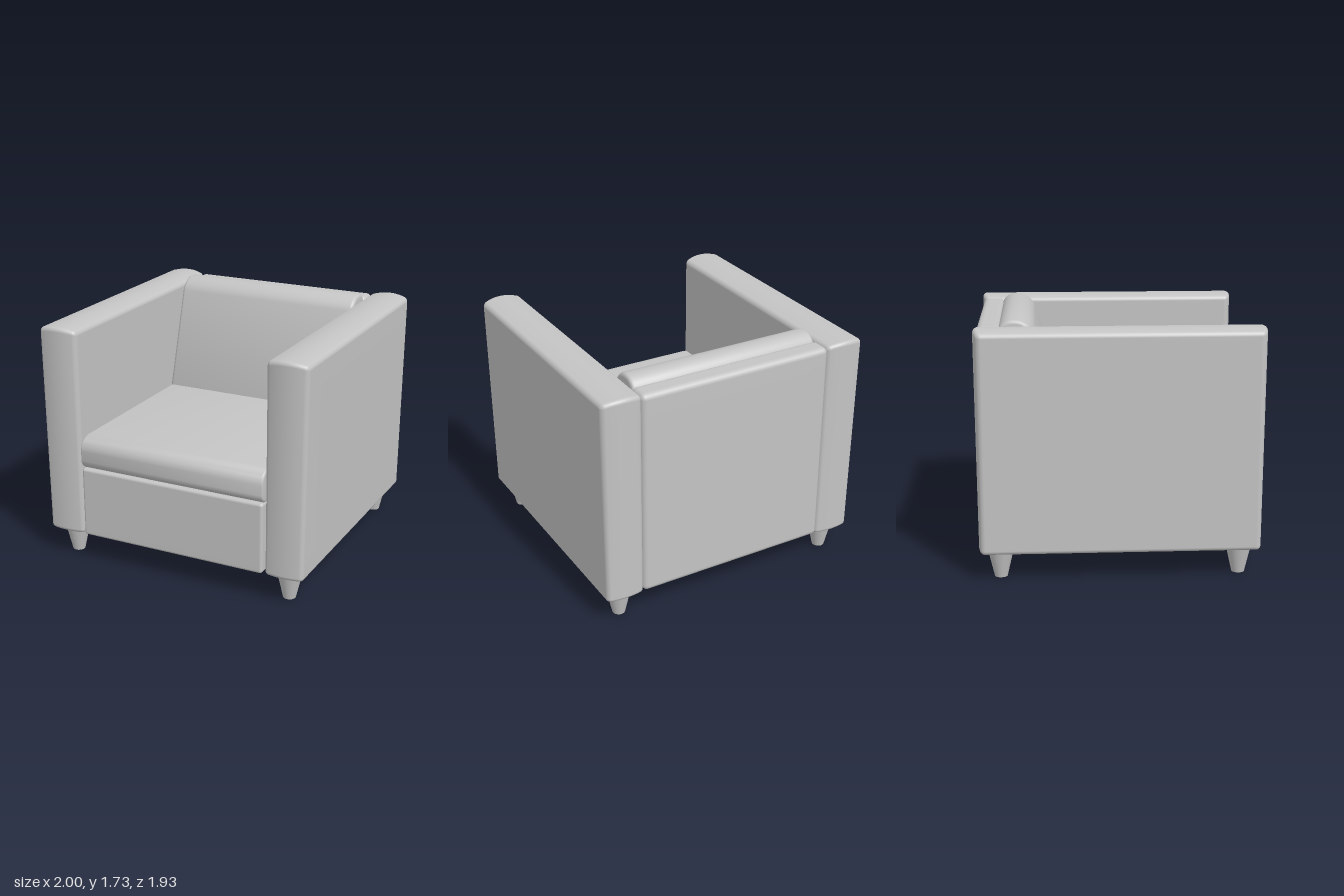
import * as THREE from 'three';
import { mergeVertices, toCreasedNormals } from 'three/addons/utils/BufferGeometryUtils.js';

const N = 20, K = 5; // grid cells per side, and how many form each rounded edge

// Box between two corners with rounded edges; shape(p, u, v, w) may bend it further
function paddedBox(min, max, r, shape) {
  const geo = new THREE.BoxGeometry(1, 1, 1, N, N, N);
  const lo = new THREE.Vector3(...min), hi = new THREE.Vector3(...max);
  const inLo = lo.clone().addScalar(r), inHi = hi.clone().subScalar(r);
  const p = new THREE.Vector3(), core = new THREE.Vector3();
  const grid = (t, a, b) => {
    const i = Math.round((t + 0.5) * N);
    if (i <= K) return a + r * i / K;
    if (i >= N - K) return b - r * (N - i) / K;
    return a + r + (b - a - 2 * r) * (i - K) / (N - 2 * K);
  };
  const pos = geo.attributes.position;
  for (let i = 0; i < pos.count; i++) {
    p.fromBufferAttribute(pos, i);
    p.set(grid(p.x, lo.x, hi.x), grid(p.y, lo.y, hi.y), grid(p.z, lo.z, hi.z));
    core.copy(p).clamp(inLo, inHi);
    p.sub(core).setLength(r).add(core);
    if (shape) {
      const s = (k) => 2 * (p[k] - lo[k]) / (hi[k] - lo[k]) - 1;
      shape(p, s('x'), s('y'), s('z'));
    }
    pos.setXYZ(i, p.x, p.y, p.z);
  }
  geo.deleteAttribute('uv');
  geo.deleteAttribute('normal');
  const merged = mergeVertices(geo, 1e-5);
  merged.computeVertexNormals();
  return merged;
}

// Side profile of [z, y, corner radius] points, extruded across x with soft ends
function profileCushion(points, halfWidth, bevel) {
  const v = points.map(([z, y]) => new THREE.Vector2(-z, y));
  const shape = new THREE.Shape();
  v.forEach((c, i) => {
    const r = points[i][2];
    const prev = v[(i + v.length - 1) % v.length], next = v[(i + 1) % v.length];
    const a = c.clone().add(prev.clone().sub(c).setLength(r));
    const b = c.clone().add(next.clone().sub(c).setLength(r));
    if (i === 0) shape.moveTo(a.x, a.y); else shape.lineTo(a.x, a.y);
    // near-circular corner
    const c1 = a.clone().lerp(c, 0.55), c2 = b.clone().lerp(c, 0.55);
    shape.bezierCurveTo(c1.x, c1.y, c2.x, c2.y, b.x, b.y);
  });
  shape.closePath();
  const geo = new THREE.ExtrudeGeometry(shape, {
    depth: 2 * (halfWidth - bevel), curveSegments: 10,
    bevelEnabled: true, bevelSize: bevel, bevelThickness: bevel, bevelOffset: -bevel, bevelSegments: 4,
  });
  geo.translate(0, 0, -(halfWidth - bevel));
  geo.rotateY(Math.PI / 2); // profile x becomes -z
  return toCreasedNormals(geo, 0.6);
}

export function createModel() {
  const group = new THREE.Group();
  const upholstery = new THREE.MeshStandardMaterial({ color: 0xc4c4c4 });
  upholstery.name = 'grey upholstery';
  const add = (name, geo) => {
    const mesh = new THREE.Mesh(geo, upholstery);
    mesh.name = name;
    group.add(mesh);
    return mesh;
  };

  // Arms: domed on top, front and back, slightly narrower at the foot
  for (const side of [1, -1]) {
    const x = [side * 0.708, side * 1.0].sort((a, b) => a - b);
    add(side > 0 ? 'leftArm' : 'rightArm', paddedBox(
      [x[0], 0.19, -0.935], [x[1], 1.68, 0.935], 0.028,
      (p, u, v, w) => {
        const dome = 1 - u * u;
        const up = (v + 1) / 2;
        p.y += 0.024 * dome * Math.max(0, v) ** 2;
        p.z += w * (0.02 + 0.01 * up) * dome;
        p.x -= side * 0.016 * (1 - up) * (1 + side * u) / 2;
      }));
  }

  // Upright panel behind the back cushion
  add('backPanel', paddedBox([-0.715, 0.195, -0.95], [0.715, 1.685, -0.79], 0.04));

  // Seat base and cushions
  add('seatBase', paddedBox([-0.695, 0.195, -0.82], [0.695, 0.702, 0.95], 0.02));
  add('seatCushion', profileCushion([
    [0.955, 0.698, 0.07], [0.955, 0.93, 0.1], [-0.7, 0.93, 0.02], [-0.7, 0.698, 0.02],
  ], 0.698, 0.015));
  add('backCushion', profileCushion([
    [-0.33, 0.87, 0.02], [-0.59, 1.727, 0.1], [-0.81, 1.727, 0.1], [-0.81, 0.87, 0.02],
  ], 0.702, 0.025));

  // Tapered legs
  for (const x of [0.84, -0.84]) {
    for (const z of [0.81, -0.81]) {
      const leg = add(`${z > 0 ? 'front' : 'back'}${x > 0 ? 'Left' : 'Right'}Leg`,
        new THREE.CylinderGeometry(0.09, 0.044, 0.2, 32));
      leg.position.set(x, 0.1, z);
    }
  }
  return group;
}
